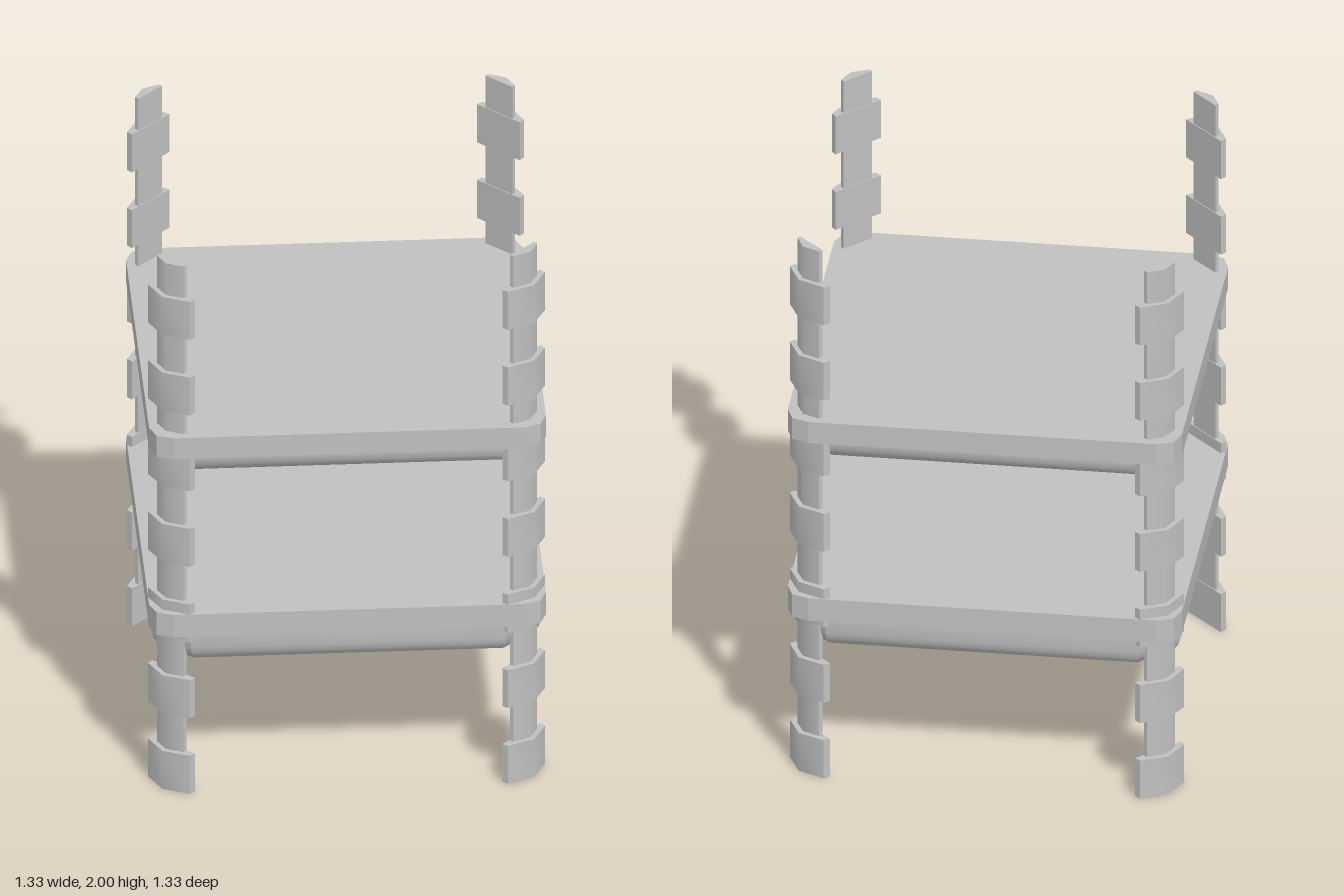
import * as THREE from 'three';
import { toCreasedNormals } from 'three/addons/utils/BufferGeometryUtils.js';

// Upright prism from an outline of [x, z] points
function prism(points, y0, y1, crease) {
  const shape = new THREE.Shape(points.map(([x, z]) => new THREE.Vector2(x, -z)));
  const geometry = new THREE.ExtrudeGeometry(shape, { depth: y1 - y0, bevelEnabled: false });
  geometry.rotateX(-Math.PI / 2).translate(0, y0, 0);
  return toCreasedNormals(geometry, crease);
}

// Repeat a short list of corner points around all four corners
function aroundCorners(corner) {
  const points = [];
  for (let k = 0; k < 4; k++) {
    for (const [x, z] of corner) {
      let p = [x, z];
      for (let r = 0; r < k; r++) p = [-p[1], p[0]];
      points.push(p);
    }
  }
  return points;
}

// Chamfered tray with a rounded lower edge, lofted from inset loops
function trayGeometry(top, bottom) {
  const profile = [[0, top], [0, bottom + 0.06], [0.008, bottom + 0.033],
    [0.022, bottom + 0.012], [0.045, bottom + 0.002], [0.07, bottom]];
  const positions = [];
  const index = [];
  for (const [inset, y] of profile) {
    const a = 0.655 - inset;
    const b = 0.53 - inset * 0.414;
    for (const [x, z] of aroundCorners([[a, b], [b, a]])) positions.push(x, y, z);
  }
  const n = 8;
  for (let j = 0; j < profile.length - 1; j++) {
    for (let i = 0; i < n; i++) {
      const a = j * n + i;
      const b = j * n + (i + 1) % n;
      index.push(a, b, a + n, b, b + n, a + n);
    }
  }
  // Flat underside
  const last = (profile.length - 1) * n;
  positions.push(0, bottom, 0);
  for (let i = 0; i < n; i++) index.push(last + n, last + i, last + (i + 1) % n);
  const geometry = new THREE.BufferGeometry();
  geometry.setAttribute('position', new THREE.Float32BufferAttribute(positions, 3));
  geometry.setIndex(index);
  return toCreasedNormals(geometry, 0.7);
}

export function createModel() {
  const model = new THREE.Group();
  model.name = 'shelfUnit';
  const grey = new THREE.MeshStandardMaterial({ color: 0xc0c0c0 });
  grey.name = 'grey';

  function add(parent, name, geometry) {
    const mesh = new THREE.Mesh(geometry, grey);
    mesh.name = name;
    parent.add(mesh);
  }

  // Shelves: a flat rim over a tray
  const rimOutline = aroundCorners([[0.667, 0.588], [0.645, 0.645], [0.588, 0.667]]);
  const shelves = [
    { name: 'lowerShelf', top: 0.685, rimBottom: 0.6, trayBottom: 0.49 },
    { name: 'upperShelf', top: 1.36, rimBottom: 1.28, trayBottom: 1.21 },
  ];
  for (const { name, top, rimBottom, trayBottom } of shelves) {
    const shelf = new THREE.Group();
    shelf.name = name;
    add(shelf, 'shelfRim', prism(rimOutline, rimBottom, top, 0.3));
    add(shelf, 'shelfTray', trayGeometry(rimBottom + 0.01, trayBottom));
    model.add(shelf);
  }

  // Corner posts: a slim bent strip with wider bands along it
  const bandOutline = [[0.652, 0.516], [0.667, 0.535], [0.625, 0.625],
    [0.535, 0.667], [0.516, 0.652]];
  const coreOutline = bandOutline.map((p) => p.map((v) => 0.59 + (v - 0.59) * 0.63));
  const coreGeometry = prism(coreOutline, 0, 2, 0.75);
  const bandGeometries = [];
  for (let i = 0; i < 7; i++) {
    bandGeometries.push(prism(bandOutline, i * 0.289, i * 0.289 + 0.145, 0.75));
  }
  const corners = ['frontLeft', 'frontRight', 'backRight', 'backLeft'];
  corners.forEach((corner, k) => {
    const post = new THREE.Group();
    post.name = corner + 'Post';
    add(post, 'postCore', coreGeometry);
    for (const geometry of bandGeometries) add(post, 'postBand', geometry);
    post.rotation.y = -k * Math.PI / 2;
    model.add(post);
  });

  return model;
}
